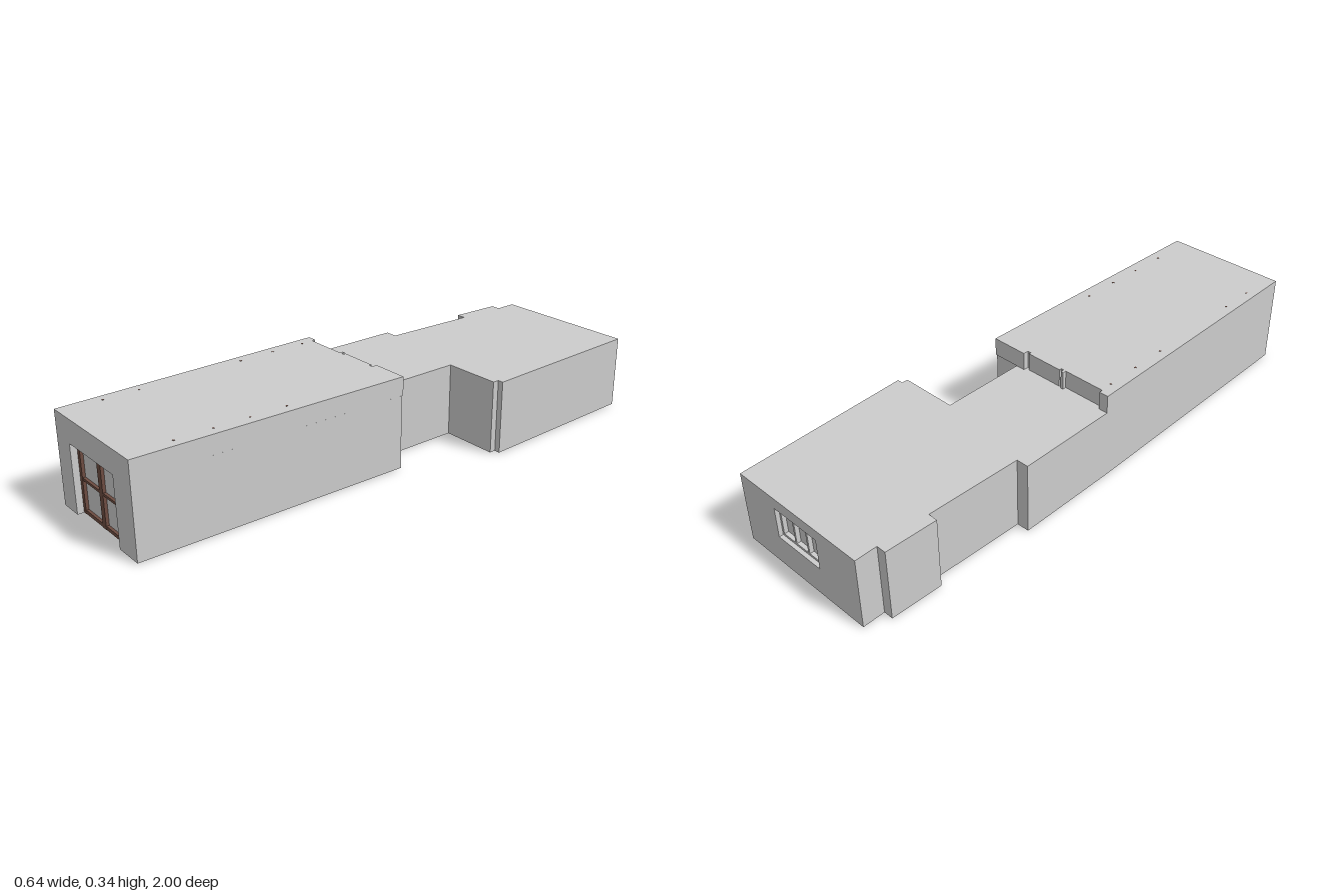
import * as THREE from 'three';

const wallGrey = new THREE.MeshStandardMaterial({ color: 0xcccccc });
wallGrey.name = 'wallGrey';
const frameBrown = new THREE.MeshStandardMaterial({ color: 0x6d4c41 });
frameBrown.name = 'frameBrown';
const floorTan = new THREE.MeshStandardMaterial({ color: 0xc8b896 });
floorTan.name = 'floorTan';
const floorDark = new THREE.MeshStandardMaterial({ color: 0x888c90 });
floorDark.name = 'floorDark';

// Upright prism over a floor plan of [x, z] points
function slab(name, plan, y0, y1, material) {
  const shape = new THREE.Shape(plan.map(([x, z]) => new THREE.Vector2(x, -z)));
  const geometry = new THREE.ExtrudeGeometry(shape, { depth: y1 - y0, bevelEnabled: false });
  geometry.rotateX(-Math.PI / 2).translate(0, y0, 0);
  const mesh = new THREE.Mesh(geometry, material);
  mesh.name = name;
  return mesh;
}

// Box given by its limits
function bar(name, x0, x1, y0, y1, z0, z1, material) {
  const geometry = new THREE.BoxGeometry(x1 - x0, y1 - y0, z1 - z0);
  geometry.translate((x0 + x1) / 2, (y0 + y1) / 2, (z0 + z1) / 2);
  const mesh = new THREE.Mesh(geometry, material);
  mesh.name = name;
  return mesh;
}

// Tall front wing, with a door recess and a stepped upper back wall
function frontWing() {
  const wing = new THREE.Group();
  wing.name = 'frontWing';
  const frontEdge = [[-0.301, 1], [0.166, 1]];
  const doorEdge = [[-0.301, 1], [-0.215, 1], [-0.215, 0.966], [0.06, 0.966], [0.06, 1], [0.166, 1]];
  const backEdge = [[0.187, 0], [-0.32, 0]];
  const steppedBack = [
    [0.187, -0.006], [0.05, -0.006], [0.05, 0.014], [0.036, 0.014], [0.036, 0.005], [-0.104, 0.005],
    [-0.104, 0.014], [-0.115, 0.014], [-0.115, 0], [-0.125, 0], [-0.125, 0.014], [-0.285, 0.014],
    [-0.285, 0], [-0.32, 0],
  ];
  wing.add(
    slab('frontWalls', [...doorEdge, ...backEdge], 0.003, 0.25, wallGrey),
    slab('frontLintel', [...frontEdge, ...backEdge], 0.25, 0.27, wallGrey),
    slab('frontRoof', [...frontEdge, ...steppedBack], 0.27, 0.337, wallGrey),
  );
  // small fixings on the roof
  const fixing = (x, z) => wing.add(bar('roofFixing', x - 0.003, x + 0.003, 0.336, 0.338, z - 0.003, z + 0.003, frameBrown));
  [0.06, 0.19, 0.325, 0.72, 0.85].forEach((z) => fixing(-0.283 + 0.015 * z, z));
  [0.435, 0.57, 0.7, 0.835].forEach((z) => fixing(0.145 - 0.014 * z, z));
  return wing;
}

// Lower back wing, with a window recess in the back wall
function backWing() {
  const wing = new THREE.Group();
  wing.name = 'backWing';
  const outline = [
    [0.293, -1], [0.318, -0.345], [0.297, -0.345], [0.297, -0.322], [0.085, -0.322], [0.085, 0.02],
    [-0.317, 0.02], [-0.32, 0], [-0.32, -0.375], [-0.275, -0.375], [-0.262, -0.73], [-0.297, -0.73],
    [-0.29, -0.92], [-0.255, -0.92], [-0.255, -1],
  ];
  const recess = [[-0.07, -1], [-0.07, -0.97], [0.129, -0.97], [0.129, -1]];
  wing.add(
    slab('backWallsLower', outline, 0.003, 0.113, wallGrey),
    slab('backWallsWindowBand', [...outline, ...recess], 0.113, 0.228, wallGrey),
    slab('backRoof', outline, 0.228, 0.27, wallGrey),
  );
  // window frame
  const z0 = -0.985, z1 = -0.969;
  for (const x of [-0.07, -0.005, 0.058, 0.121]) {
    wing.add(bar('windowPost', x, x + 0.008, 0.113, 0.228, z0, z1, wallGrey));
  }
  wing.add(
    bar('windowHead', -0.07, 0.129, 0.22, 0.228, z0, z1, wallGrey),
    bar('windowSill', -0.07, 0.129, 0.113, 0.121, z0, z1, wallGrey),
  );
  return wing;
}

// Brown double door with four panes
function door() {
  const group = new THREE.Group();
  group.name = 'door';
  const z0 = 0.965, z1 = 0.977;
  for (const [a, b] of [[-0.215, -0.2], [-0.09, -0.067], [0.045, 0.06]]) {
    group.add(bar('doorPost', a, b, 0.004, 0.25, z0, z1, frameBrown));
  }
  for (const [a, b] of [[0.004, 0.017], [0.122, 0.131], [0.237, 0.25]]) {
    group.add(bar('doorRail', -0.215, 0.06, a, b, z0, z1 - 0.001, frameBrown));
  }
  return group;
}

export function createModel() {
  const model = new THREE.Group();
  model.name = 'building';
  model.add(frontWing(), backWing(), door());

  // floor plates under the rooms
  model.add(
    slab('darkFloor', [
      [-0.272, 0.966], [0.136, 0.966], [0.156, 0.03], [0.055, 0.03], [0.055, -0.355],
      [-0.1, -0.355], [-0.1, 0.015], [-0.29, 0.015],
    ], 0, 0.004, floorDark),
    slab('tanFloor', [
      [-0.29, 0.015], [-0.1, 0.015], [-0.1, -0.355], [0.28, -0.355], [0.255, -0.957],
      [-0.225, -0.957], [-0.24, -0.35], [-0.29, -0.35],
    ], 0, 0.004, floorTan),
  );
  return model;
}
